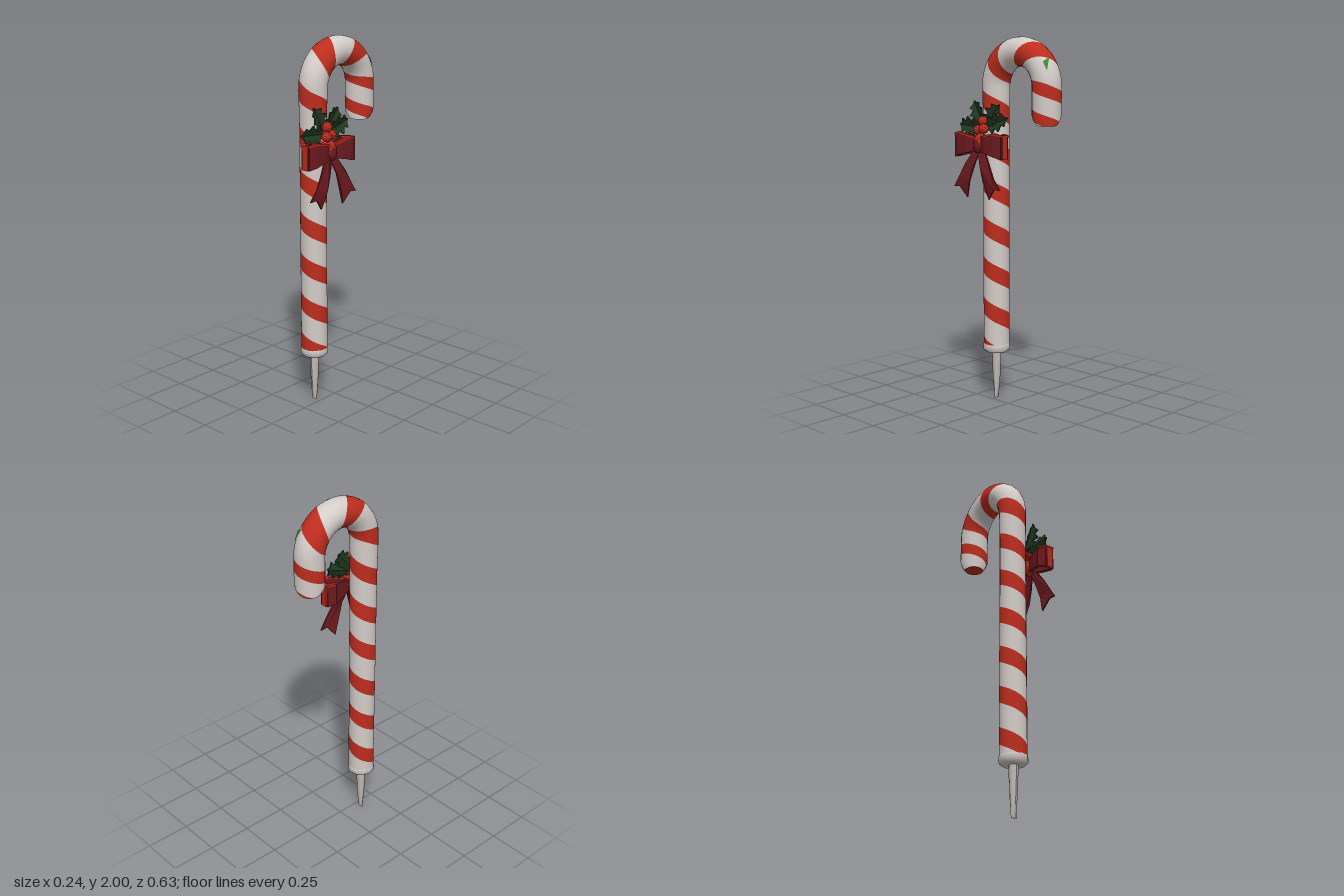
import * as THREE from 'three';
import { mergeGeometries } from 'three/addons/utils/BufferGeometryUtils.js';

const mat = (name, color, extra = {}) => {
  const m = new THREE.MeshStandardMaterial({ color, ...extra });
  m.name = name;
  return m;
};

// Cane dimensions: s runs up the shaft (s = y), round the hook and down the tip
const CX = -0.038, SHAFT_Z = 0.126, BEND = 0.183, BEND_Y = 1.739;
const ARC_END = BEND_Y + Math.PI * BEND, START = 0.31, END = ARC_END + 0.2;
const PITCH = 0.227, RED_WIDTH = 0.094, FIRST = 0.576;

function canePoint(s, theta) {
  const phi = THREE.MathUtils.clamp((s - BEND_Y) / BEND, 0, Math.PI);
  const out = new THREE.Vector3(0, Math.sin(phi), Math.cos(phi));
  const centre = out.clone().multiplyScalar(BEND);
  centre.add(new THREE.Vector3(CX, BEND_Y, SHAFT_Z - BEND));
  centre.y += Math.min(s - BEND_Y, 0) - Math.max(s - ARC_END, 0);
  const normal = out.multiplyScalar(Math.cos(theta));
  normal.x = Math.sin(theta);
  let r = 0.072 + 0.006 * THREE.MathUtils.smoothstep(s, 1.5, 1.9);
  const tip = Math.max(0, (s - END + 0.06) / 0.06);
  r *= 1 - 0.35 * tip * tip;
  return { p: centre.addScaledVector(normal, r), n: normal };
}

// One turn of a helical band between offsets lo and hi from the stripe centre
function helixBand(centre, lo, hi, rows) {
  const cols = 20, pos = [], nor = [], idx = [];
  for (let j = 0; j <= rows; j++) {
    for (let i = 0; i <= cols; i++) {
      let s = centre - PITCH * i / cols + lo + (hi - lo) * j / rows;
      s -= 0.3 * Math.max(0, s - 2.27); // stripes sit closer together at the tip
      const { p, n } = canePoint(THREE.MathUtils.clamp(s, START, END), i / cols * Math.PI * 2);
      pos.push(...p);
      nor.push(...n);
      if (i < cols && j < rows) {
        const a = j * (cols + 1) + i, d = a + cols + 1;
        idx.push(a, a + 1, d + 1, a, d + 1, d);
      }
    }
  }
  const g = new THREE.BufferGeometry();
  g.setAttribute('position', new THREE.Float32BufferAttribute(pos, 3));
  g.setAttribute('normal', new THREE.Float32BufferAttribute(nor, 3));
  g.setIndex(idx);
  return g;
}

function stripes(lo, hi, rows) {
  const parts = [];
  for (let k = -2; k <= 11; k++) parts.push(helixBand(FIRST + k * PITCH, lo, hi, rows));
  return mergeGeometries(parts);
}

// Small painted triangle lying just above the cane, corners as [s, theta]
function fleck(corners) {
  const pos = corners.flatMap(([s, theta]) => {
    const { p, n } = canePoint(s, theta);
    return [...p.addScaledVector(n, 0.004)];
  });
  const g = new THREE.BufferGeometry();
  g.setAttribute('position', new THREE.Float32BufferAttribute(pos, 3));
  g.computeVertexNormals();
  return g;
}

// Closed loft through rings of four corners, with end caps
function loft(rings) {
  const pos = rings.flat(2), idx = [], last = (rings.length - 1) * 4;
  for (let r = 0; r < rings.length - 1; r++) {
    for (let i = 0; i < 4; i++) {
      const a = r * 4 + i, b = r * 4 + (i + 1) % 4;
      idx.push(a, b, b + 4, a, b + 4, a + 4);
    }
  }
  idx.push(0, 2, 1, 0, 3, 2, last, last + 1, last + 2, last, last + 2, last + 3);
  const g = new THREE.BufferGeometry();
  g.setAttribute('position', new THREE.Float32BufferAttribute(pos, 3));
  g.setIndex(idx);
  g.computeVertexNormals();
  return g;
}

// Ribbon standing on edge: points are [x, distance from knot, bottom, top]
function ribbon(points, side, t) {
  return loft(points.map(([x, d, lo, hi], i) => {
    const a = points[Math.max(i - 1, 0)], b = points[Math.min(i + 1, points.length - 1)];
    const len = Math.hypot(b[0] - a[0], b[1] - a[1]);
    const nx = (b[1] - a[1]) / len * t, nd = -(b[0] - a[0]) / len * t;
    return [[x + nx, lo, (d + nd) * side], [x + nx, hi, (d + nd) * side],
      [x - nx, hi, (d - nd) * side], [x - nx, lo, (d - nd) * side]];
  }));
}

// Flat plate drawn as seen from +x (across = -z, up = y), then bent along x
function plate(points, depth, bend) {
  const shape = new THREE.Shape(points.map(([u, v]) => new THREE.Vector2(u, v)));
  const g = new THREE.ExtrudeGeometry(shape, { depth, bevelEnabled: false });
  const p = g.attributes.position;
  for (let i = 0; i < p.count; i++) p.setZ(i, p.getZ(i) + bend(p.getX(i), p.getY(i)));
  g.rotateY(Math.PI / 2);
  g.computeVertexNormals();
  return g;
}

export function createModel() {
  const white = mat('candy white', 0xd4cdc9);
  const red = mat('candy red', 0xbe2d1f);
  const steel = mat('stake grey', 0xc4bcb8);
  const crimson = mat('ribbon crimson', 0x6c1a1f, { side: THREE.DoubleSide, flatShading: true });
  const bright = mat('ribbon red', 0xb42b1d, { side: THREE.DoubleSide, flatShading: true });
  const green = mat('holly green', 0x203a22, { side: THREE.DoubleSide, flatShading: true });
  const leafy = mat('fleck green', 0x3c8a2c, { side: THREE.DoubleSide });

  const model = new THREE.Group();
  model.name = 'candyCane';
  const add = (parent, name, geo, material, x = 0, y = 0, z = 0) => {
    const m = new THREE.Mesh(geo, material);
    m.name = name;
    m.position.set(x, y, z);
    parent.add(m);
    return m;
  };

  // Striped cane
  add(model, 'redStripes', stripes(-RED_WIDTH / 2, RED_WIDTH / 2, 3), red);
  add(model, 'whiteStripes', stripes(RED_WIDTH / 2, PITCH - RED_WIDTH / 2, 5), white);
  add(model, 'greenFleck', fleck([[2.2, 0.2], [2.21, 0.75], [2.25, 0.7]]), leafy);
  const tip = canePoint(END, 0).p, tipZ = SHAFT_Z - 2 * BEND;
  add(model, 'tipCap', new THREE.CircleGeometry(Math.abs(tip.z - tipZ), 20).rotateX(Math.PI / 2),
    red, CX, tip.y, tipZ);

  // Collar and ground stake
  const collar = [[0, 0.27], [0.06, 0.27], [0.077, 0.285], [0.075, 0.315], [0.07, 0.318]];
  add(model, 'collar', new THREE.LatheGeometry(collar.map(c => new THREE.Vector2(...c)), 12),
    white, CX, 0, SHAFT_Z);
  const stake = new THREE.CylinderGeometry(0.027, 0.017, 0.28, 8, 4);
  const sp = stake.attributes.position;
  for (let i = 0; i < sp.count; i++) {
    sp.setZ(i, sp.getZ(i) * Math.min(0.95, 0.12 + (sp.getY(i) + 0.14) * 9));
  }
  stake.computeVertexNormals();
  add(model, 'stake', stake, steel, CX, 0.14, SHAFT_Z);

  // Bow: two loops with bright ends and rims, two notched tails and a knot
  const bow = new THREE.Group();
  bow.name = 'bow';
  bow.position.set(0, 1.425, 0.13);
  model.add(bow);
  const loop = [[0.09, 0.02, -0.03, 0.042], [0.106, 0.07, -0.04, 0.056], [0.108, 0.13, -0.055, 0.068],
    [0.093, 0.17, -0.067, 0.058], [0.055, 0.172, -0.066, 0.056], [0.036, 0.13, -0.054, 0.06],
    [0.05, 0.07, -0.038, 0.05], [0.067, 0.02, -0.03, 0.042]];
  const rim = loop.slice(0, 6).map(([x, d, , hi]) => [x, d, hi - 0.006, hi + 0.004]);
  const tail = [[0, -0.01], [0.045, -0.03], [0.09, -0.1], [0.13, -0.17], [0.174, -0.23],
    [0.13, -0.226], [0.082, -0.285], [0.05, -0.19], [0.024, -0.11], [0, -0.05]];
  for (const side of [1, -1]) {
    add(bow, 'loopFront', ribbon(loop.slice(0, 4), side, 0.01), crimson);
    add(bow, 'loopEnd', ribbon(loop.slice(3, 5), side, 0.008), bright);
    add(bow, 'loopBack', ribbon(loop.slice(4), side, 0.008), crimson);
    add(bow, 'loopRim', ribbon(rim, side, 0.0115), bright);
    add(bow, 'tail', plate(tail.map(([u, v]) => [u * side, v]), 0.008,
      (u, v) => 0.075 + 0.032 * Math.sin(-v * 9)), crimson);
  }
  const knot = add(bow, 'knot', new THREE.IcosahedronGeometry(1, 1), bright, 0.085, 0.01, 0);
  knot.scale.set(0.032, 0.058, 0.036);
  const knotFace = add(bow, 'knotFace', new THREE.IcosahedronGeometry(1, 1), crimson, 0.1, 0, 0);
  knotFace.scale.set(0.021, 0.042, 0.027);

  // Holly leaves, each made of two folded halves with spiny edges
  const edge = [[0, 0.012], [0.18, 0.028], [0.27, 0.05], [0.4, 0.026], [0.55, 0.052],
    [0.68, 0.024], [0.82, 0.038], [0.88, 0.014], [1, 0]];
  // across, up, length, angle, distance from the cane
  const leaves = [[-0.02, 1.52, 0.165, 176, 0.045], [-0.01, 1.53, 0.15, 118, 0.038],
    [0.02, 1.52, 0.165, 20, 0.045], [0.01, 1.53, 0.15, 50, 0.036]];
  for (const [u, y, len, deg, x] of leaves) {
    const leaf = new THREE.Group();
    leaf.name = 'hollyLeaf';
    leaf.position.set(x, y, 0.13 - u);
    leaf.rotation.x = THREE.MathUtils.degToRad(deg);
    for (const side of [1, -1]) {
      const half = [[0, 0], ...edge.map(([t, w]) => [t * len, w * side])];
      add(leaf, 'leafHalf', plate(half, 0.009, (a, w) => 0.4 * Math.abs(w)), green);
    }
    model.add(leaf);
  }

  // Berries
  for (const [x, y, z] of [[0.077, 1.508, 0.148], [0.074, 1.515, 0.11], [0.062, 1.555, 0.128]]) {
    add(model, 'berry', new THREE.IcosahedronGeometry(0.028, 1), bright, x, y, z);
  }
  return model;
}
